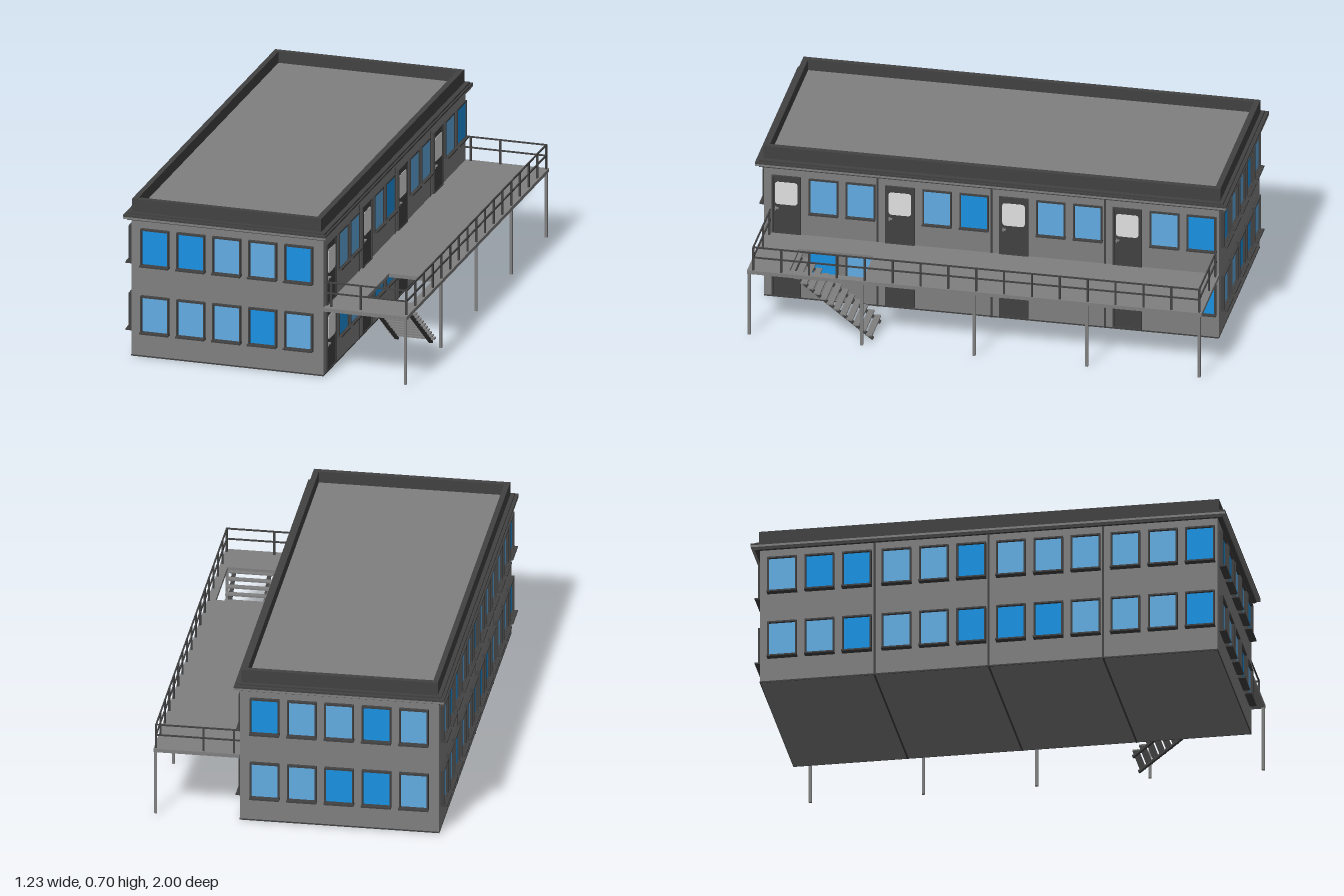
import * as THREE from 'three';

const mat = (name, color) => {
  const m = new THREE.MeshStandardMaterial({ color });
  m.name = name;
  return m;
};

export function createModel() {
  const model = new THREE.Group();
  model.name = 'modularBuilding';
  const grey = mat('wall grey', 0x808080);
  const dark = mat('trim dark grey', 0x424242);
  const blue = mat('glass deep blue', 0x1a92e4);
  const pale = mat('glass pale blue', 0x62ade4);
  const white = mat('door glass', 0xe2e2e2);

  const add = (parent, name, geometry, material, x = 0, y = 0, z = 0) => {
    const m = new THREE.Mesh(geometry, material);
    m.name = name;
    m.position.set(x, y, z);
    parent.add(m);
    return m;
  };
  // box given by its minimum and maximum corners
  const box = (parent, name, material, a, b) => add(parent, name,
    new THREE.BoxGeometry(b[0] - a[0], b[1] - a[1], b[2] - a[2]), material,
    (a[0] + b[0]) / 2, (a[1] + b[1]) / 2, (a[2] + b[2]) / 2);
  const rect = (x0, y0, x1, y1, Type = THREE.Shape) => {
    const s = new Type();
    s.moveTo(x0, y0).lineTo(x1, y0).lineTo(x1, y1).lineTo(x0, y1).closePath();
    return s;
  };
  // rectangular ring or slab with a hole
  const holed = (o, h, depth) => {
    const s = rect(...o);
    s.holes.push(rect(...h, THREE.Path));
    return new THREE.ExtrudeGeometry(s, { depth, bevelEnabled: false });
  };

  const X0 = -0.587, X1 = 0.252, Z = 0.965, BAY = 0.4825;

  // walls, dark foot line and module seams
  box(model, 'body', grey, [X0, 0, -Z], [X1, 0.61, Z]);
  const footLine = holed([X0 - 0.001, -Z - 0.001, X1 + 0.001, Z + 0.001], [X0 + 0.002, -Z + 0.002, X1 - 0.002, Z - 0.002], 0.006);
  footLine.rotateX(-Math.PI / 2);
  add(model, 'footLine', footLine, dark);
  for (const z of [-BAY, 0, BAY])
    box(model, 'moduleSeam', dark, [X0 - 0.003, -0.0005, z - 0.004], [X1 + 0.003, 0.606, z + 0.004]);

  // stepped cornice, parapet and roof
  box(model, 'corniceLower', dark, [X0 - 0.012, 0.605, -0.985], [X1 + 0.012, 0.613, 0.985]);
  box(model, 'corniceMiddle', grey, [-0.612, 0.613, -1], [0.272, 0.622, 1]);
  box(model, 'corniceEdge', dark, [-0.612, 0.622, -1], [0.272, 0.63, 1]);
  box(model, 'corniceTop', dark, [X0 - 0.012, 0.63, -0.985], [X1 + 0.012, 0.638, 0.985]);
  const parapet = holed([-0.582, -0.97, 0.244, 0.97], [-0.56, -0.946, 0.22, 0.946], 0.057);
  parapet.rotateX(-Math.PI / 2);
  add(model, 'parapet', parapet, dark, 0, 0.638, 0);
  box(model, 'roof', grey, [-0.56, 0.638, -0.946], [0.22, 0.645, 0.946]);

  // window and door, built facing +z at the wall surface
  const W = 0.124, H = 0.164;
  const frame = (depth) => holed([-W / 2, 0, W / 2, H], [-W / 2 + 0.007, 0.007, W / 2 - 0.007, H - 0.007], depth);
  const frames = { deep: frame(0.016), shallow: frame(0.008) };
  const sillBox = (depth) => new THREE.BoxGeometry(W + 0.002, 0.007, depth).translate(0, 0.0025, depth / 2);
  const sills = { deep: sillBox(0.029), shallow: sillBox(0.019) };
  const glass = new THREE.BoxGeometry(W - 0.012, H - 0.012, 0.004);
  const makeWindow = (code, kind) => {
    const g = new THREE.Group();
    g.name = 'window';
    add(g, 'windowFrame', frames[kind], dark);
    add(g, 'windowPane', glass, code === 'D' ? blue : pale, 0, H / 2, 0.003);
    add(g, 'windowSill', sills[kind], dark);
    return g;
  };
  const doorFrame = holed([-0.062, 0, 0.062, 0.268], [-0.055, 0.004, 0.055, 0.261], 0.008);
  const paneShape = new THREE.Shape();
  paneShape.moveTo(-0.048, 0.016).quadraticCurveTo(-0.048, 0, -0.032, 0).lineTo(0.032, 0)
    .quadraticCurveTo(0.048, 0, 0.048, 0.016).lineTo(0.048, 0.09)
    .quadraticCurveTo(0.048, 0.104, 0.034, 0.104).lineTo(-0.034, 0.104).quadraticCurveTo(-0.048, 0.104, -0.048, 0.09);
  const doorPane = new THREE.ExtrudeGeometry(paneShape, { depth: 0.002, bevelEnabled: false, curveSegments: 5 });
  const makeDoor = () => {
    const g = new THREE.Group();
    g.name = 'door';
    add(g, 'doorFrame', doorFrame, dark);
    box(g, 'doorLeaf', dark, [-0.056, 0.003, -0.002], [0.056, 0.262, 0.005]);
    add(g, 'doorPane', doorPane, white, 0, 0.135, 0.0045);
    box(g, 'doorHandle', grey, [-0.047, 0.115, 0.005], [-0.032, 0.12, 0.015]);
    box(g, 'doorLock', grey, [-0.047, 0.105, 0.005], [-0.042, 0.124, 0.008]);
    return g;
  };

  // each wall: rotation, origin, then openings along its own x axis
  const wall = (name, angle, x, z) => {
    const g = new THREE.Group();
    g.name = name;
    g.rotation.y = angle;
    g.position.set(x, 0, z);
    model.add(g);
    return (part, px, py) => { part.position.set(px, py, 0); g.add(part); };
  };
  const floors = [0.108, 0.404];
  const mid = (X0 + X1) / 2;
  for (const [name, angle, z, rows] of [
    ['frontWall', 0, Z, ['LLLDL', 'DDLLD']],
    ['backWall', Math.PI, -Z, ['LLDDL', 'DLLDL']]]) {
    const put = wall(name, angle, mid, z);
    rows.forEach((row, f) => [...row].forEach((c, i) =>
      put(makeWindow(c, 'deep'), (i - 2) * 0.157, floors[f])));
  }
  const offsets = [0.095, 0.253, 0.41];
  for (const [name, angle, x, kind, rows] of [
    ['rightWall', Math.PI / 2, X1, 'shallow', ['_DL_DD_DD_LD', '_LL_LD_LL_LD']],
    ['leftWall', -Math.PI / 2, X0, 'deep', ['LLDLLDDDLLLD', 'LDDLLDLLLLLD']]]) {
    const put = wall(name, angle, x, 0);
    rows.forEach((row, f) => [...row].forEach((c, i) => {
      const px = -Z + Math.floor(i / 3) * BAY + offsets[i % 3];
      if (c === '_') put(makeDoor(), px, f ? 0.302 : 0.01);
      else put(makeWindow(c, kind), px, floors[f]);
    }));
  }

  // gallery deck with stair opening, on slender posts
  const deck = holed([X1, -0.963, 0.615, 0.967], [0.38, -0.79, 0.58, -0.475], 0.016);
  deck.rotateX(-Math.PI / 2);
  add(model, 'galleryDeck', deck, grey, 0, 0.285, 0);
  for (let i = -2; i <= 2; i++)
    box(model, 'galleryPost', grey, [0.602, 0, i * 0.4775 - 0.006], [0.613, 0.286, i * 0.4775 + 0.006]);

  // railing round three sides
  const R = 0.003, RX = 0.606, ZB = -0.955, ZF = 0.938;
  for (const y of [0.36, 0.407]) {
    box(model, 'sideRail', dark, [RX - R, y - R, ZB], [RX + R, y + R, ZF]);
    for (const z of [ZB, ZF]) box(model, 'endRail', dark, [X1, y - R, z - R], [RX + R, y + R, z + R]);
  }
  const B = 0.004;
  const baluster = (x, z) => box(model, 'baluster', dark, [x - B, 0.3, z - B], [x + B, 0.407, z + B]);
  for (let i = 0; i <= 16; i++) baluster(RX, ZB + (ZF - ZB) * i / 16);
  for (const z of [ZB, ZF]) for (const x of [0.278, 0.406]) baluster(x, z);

  // stair: two sloping stringers under open treads
  const top = [0.29, 0.8], foot = [0.012, 0.44];
  const dy = top[0] - foot[0], dz = top[1] - foot[1];
  for (const x of [0.404, 0.553]) {
    const s = add(model, 'stairStringer', new THREE.BoxGeometry(0.017, 0.009, Math.hypot(dy, dz)), dark,
      x, (top[0] + foot[0]) / 2 - 0.006, (top[1] + foot[1]) / 2);
    s.rotation.x = -Math.atan2(dy, dz);
  }
  for (let i = 0; i < 13; i++) {
    const t = (i + 0.5) / 13, y = foot[0] + dy * t + 0.006, z = foot[1] + dz * t;
    box(model, 'stairTread', grey, [0.386, y - 0.003, z - 0.0135], [0.575, y + 0.003, z + 0.0135]);
  }
  return model;
}
